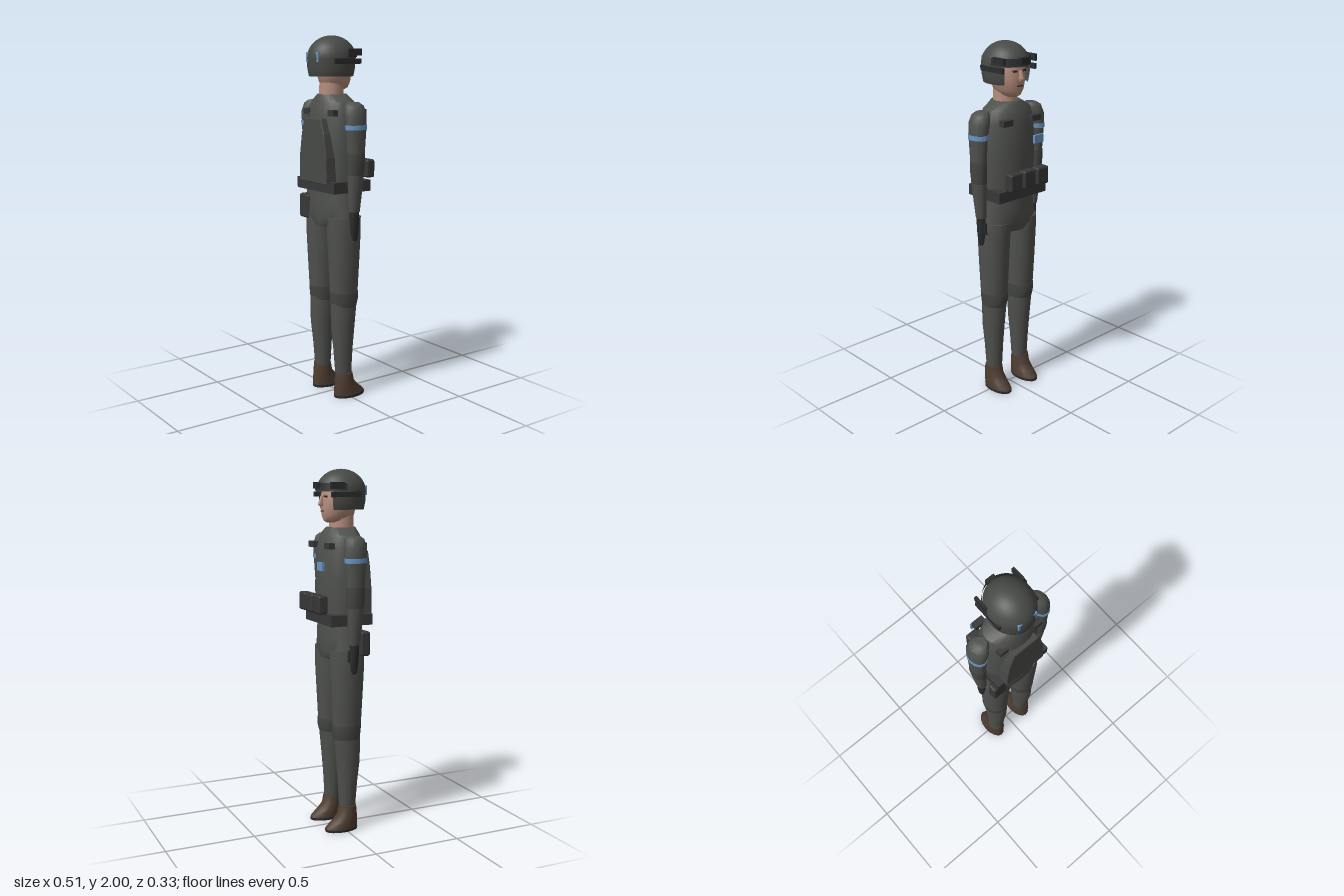
import * as THREE from 'three';
import { toCreasedNormals } from 'three/addons/utils/BufferGeometryUtils.js';
import { RoundedBoxGeometry } from 'three/addons/geometries/RoundedBoxGeometry.js';

const mat = (color, side = THREE.FrontSide) => new THREE.MeshStandardMaterial({ color, side });
const cloth = mat(0x4f514d), pad = mat(0x444643), plate = mat(0x474946), gear = mat(0x383838);
const black = mat(0x2a2b2d), skin = mat(0xb58c7c), leather = mat(0x4e3d31), blue = mat(0x6796c4);
const helmetMat = mat(0x484a46, THREE.DoubleSide);

// Stacks elliptical sections [y, centre x, centre z, radius x, radius z], listed from the top down
function loft(rows, sides = 14) {
  const last = rows.length - 1;
  const g = new THREE.CylinderGeometry(1, 1, 1, sides, last);
  const p = g.attributes.position;
  for (let i = 0; i < p.count; i++) {
    const [y, cx, cz, rx, rz] = rows[Math.round((0.5 - p.getY(i)) * last)];
    p.setXYZ(i, cx + p.getX(i) * rx, y, cz + p.getZ(i) * rz);
  }
  return toCreasedNormals(g, 0.7);
}

export function createModel() {
  const model = new THREE.Group();
  const add = (name, geometry, material, x = 0, y = 0, z = 0) => {
    const mesh = new THREE.Mesh(geometry, material);
    mesh.name = name;
    mesh.position.set(x, y, z);
    model.add(mesh);
    return mesh;
  };
  const box = (name, w, h, d, material, x, y, z) =>
    add(name, new THREE.BoxGeometry(w, h, d), material, x, y, z);
  const pouch = (name, w, h, d, x, y, z) =>
    add(name, new RoundedBoxGeometry(w, h, d, 2, 0.012), gear, x, y, z);

  // Torso and hips
  add('torso', loft([
    [1.69, 0, 0.025, 0.075, 0.082], [1.65, 0, 0.02, 0.145, 0.1], [1.58, 0, 0.017, 0.165, 0.115],
    [1.42, 0, 0.017, 0.168, 0.122], [1.28, 0, 0.017, 0.165, 0.12], [1.17, 0, 0.017, 0.16, 0.112],
  ], 20), cloth);
  add('hips', loft([
    [1.19, 0, 0.017, 0.16, 0.11], [1.1, 0, 0.017, 0.17, 0.112],
    [1.02, 0, 0.017, 0.183, 0.112], [0.975, 0, 0.017, 0.1, 0.1],
  ], 20), cloth);
  box('belt', 0.346, 0.06, 0.247, gear, 0, 1.2, 0.0135);

  // Back plate
  const outline = new THREE.Shape([[-0.125, 1.22], [0.125, 1.22], [0.12, 1.36], [0.1, 1.48],
    [0.075, 1.56], [-0.075, 1.56], [-0.1, 1.48], [-0.12, 1.36]].map(([x, y]) => new THREE.Vector2(x, y)));
  add('backPlate', new THREE.ExtrudeGeometry(outline, {
    depth: 0.06, bevelSize: 0.004, bevelThickness: 0.005, bevelSegments: 1,
  }), plate, 0, 0, 0.09);

  // Belt pouches, holster and chest patch
  for (const x of [-0.098, 0, 0.097]) pouch('beltPouch', 0.084, 0.1, 0.054, x, 1.285, -0.14);
  pouch('hipPouch', 0.09, 0.135, 0.055, -0.14, 1.067, 0.092);
  box('chestPatch', 0.067, 0.045, 0.013, blue, -0.089, 1.488, -0.133);

  for (const s of [-1, 1]) {
    // Strap buckles
    box('frontBuckle', 0.065, 0.032, 0.036, gear, s * 0.103, 1.595, -0.088);
    box('backBuckle', 0.05, 0.032, 0.035, gear, s * 0.112, 1.595, 0.1);

    // Arm
    add('upperArm', loft([
      [1.652, s * 0.178, 0.017, 0.03, 0.035], [1.635, s * 0.188, 0.017, 0.047, 0.054],
      [1.59, s * 0.2, 0.017, 0.052, 0.064], [1.52, s * 0.208, 0.017, 0.043, 0.06],
      [1.39, s * 0.207, 0.017, 0.041, 0.05], [1.36, s * 0.206, 0.017, 0.04, 0.05],
    ], 12), cloth);
    add('armBand', loft([[1.535, s * 0.207, 0.017, 0.047, 0.064], [1.51, s * 0.208, 0.017, 0.046, 0.063]], 12), blue);
    add('elbow', loft([
      [1.385, s * 0.207, 0.017, 0.042, 0.052], [1.33, s * 0.207, 0.017, 0.042, 0.052],
      [1.27, s * 0.204, 0.017, 0.04, 0.048],
    ], 12), pad);
    add('forearm', loft([
      [1.3, s * 0.205, 0.017, 0.039, 0.046], [1.22, s * 0.202, 0.017, 0.037, 0.043],
      [1.07, s * 0.193, 0.017, 0.027, 0.032],
    ], 12), cloth);
    add('glove', loft([
      [1.08, s * 0.193, 0.017, 0.024, 0.026], [1.03, s * 0.194, 0.017, 0.022, 0.026],
      [0.98, s * 0.194, 0.016, 0.019, 0.025], [0.93, s * 0.195, 0.015, 0.013, 0.019],
      [0.91, s * 0.195, 0.015, 0.008, 0.012],
    ], 10), black);
    add('thumb', loft([
      [1.04, s * 0.188, -0.008, 0.01, 0.01], [0.975, s * 0.184, -0.012, 0.007, 0.007],
    ], 8), black);

    // Leg
    add('thigh', loft([
      [1.03, s * 0.1, 0.017, 0.083, 0.098], [0.95, s * 0.099, 0.017, 0.086, 0.098],
      [0.8, s * 0.1, 0.017, 0.081, 0.09], [0.6, s * 0.099, 0.017, 0.073, 0.08],
    ]), cloth);
    add('knee', loft([
      [0.61, s * 0.099, 0.017, 0.0745, 0.082], [0.57, s * 0.099, 0.014, 0.073, 0.082],
      [0.53, s * 0.099, 0.017, 0.068, 0.075],
    ]), pad);
    add('shin', loft([
      [0.56, s * 0.099, 0.017, 0.068, 0.077], [0.4, s * 0.1, 0.024, 0.061, 0.068],
      [0.28, s * 0.1, 0.022, 0.052, 0.056], [0.12, s * 0.1, 0.02, 0.044, 0.045],
    ]), cloth);
    add('boot', loft([
      [0.142, s * 0.105, 0.02, 0.049, 0.049], [0.09, s * 0.105, 0.017, 0.052, 0.057],
      [0.055, s * 0.105, 0.002, 0.054, 0.075], [0.025, s * 0.105, -0.015, 0.055, 0.093],
      [0.012, s * 0.105, -0.018, 0.055, 0.097],
    ], 16), leather);
    add('sole', loft([[0.014, s * 0.105, -0.018, 0.056, 0.098], [0, s * 0.105, -0.018, 0.055, 0.097]], 16), black);
  }

  // Neck and head
  add('neck', loft([[1.76, 0, 0.03, 0.063, 0.066], [1.67, 0, 0.03, 0.066, 0.068]], 16), skin);
  add('head', loft([
    [1.93, 0, 0.02, 0.07, 0.085], [1.86, 0, 0.015, 0.09, 0.1], [1.8, 0, 0.012, 0.087, 0.098],
    [1.755, 0, 0.008, 0.074, 0.09], [1.725, 0, 0, 0.052, 0.072], [1.715, 0, 0, 0.036, 0.055],
  ], 18), skin);
  add('nose', loft([
    [1.86, 0, -0.085, 0.007, 0.008], [1.815, 0, -0.09, 0.014, 0.019], [1.803, 0, -0.088, 0.01, 0.014],
  ], 8), skin);
  box('mouth', 0.036, 0.006, 0.008, black, 0, 1.777, -0.083);
  for (const s of [-1, 1]) box('eye', 0.022, 0.01, 0.012, black, s * 0.032, 1.855, -0.078);

  // Helmet: closed dome above a skirt left open at the face
  const dome = new THREE.SphereGeometry(1, 32, 12, 0, Math.PI * 2, 0, Math.PI / 2);
  add('helmetDome', dome, helmetMat, 0, 1.88, 0.0275).scale.set(0.122, 0.12, 0.1375);
  const opening = 0.85;
  const skirt = new THREE.LatheGeometry(
    [[0.87, 1.785], [0.92, 1.785], [0.985, 1.83], [1, 1.882]].map(([r, y]) => new THREE.Vector2(r, y)),
    28, Math.PI + opening, Math.PI * 2 - opening * 2);
  add('helmetSkirt', skirt, helmetMat, 0, 0, 0.0275).scale.set(0.122, 1, 0.1375);

  // Brow band, mount, side rails and rear patch
  const brow = new THREE.CylinderGeometry(1, 1.03, 0.04, 20, 1, true, Math.PI / 2 + 0.15, Math.PI - 0.3);
  add('browBand', brow, mat(0x2d2e2f, THREE.DoubleSide), 0, 1.905, 0.0275).scale.set(0.123, 1, 0.139);
  box('frontMount', 0.052, 0.032, 0.022, black, 0, 1.912, -0.11);
  for (const s of [-1, 1]) {
    box('sideRail', 0.015, 0.028, 0.17, black, s * 0.115, 1.865, 0.005);
    box('sideClip', 0.014, 0.036, 0.08, black, s * 0.114, 1.912, -0.045);
  }
  box('rearPatch', 0.114, 0.052, 0.014, blue, 0, 1.886, 0.148);

  return model;
}
